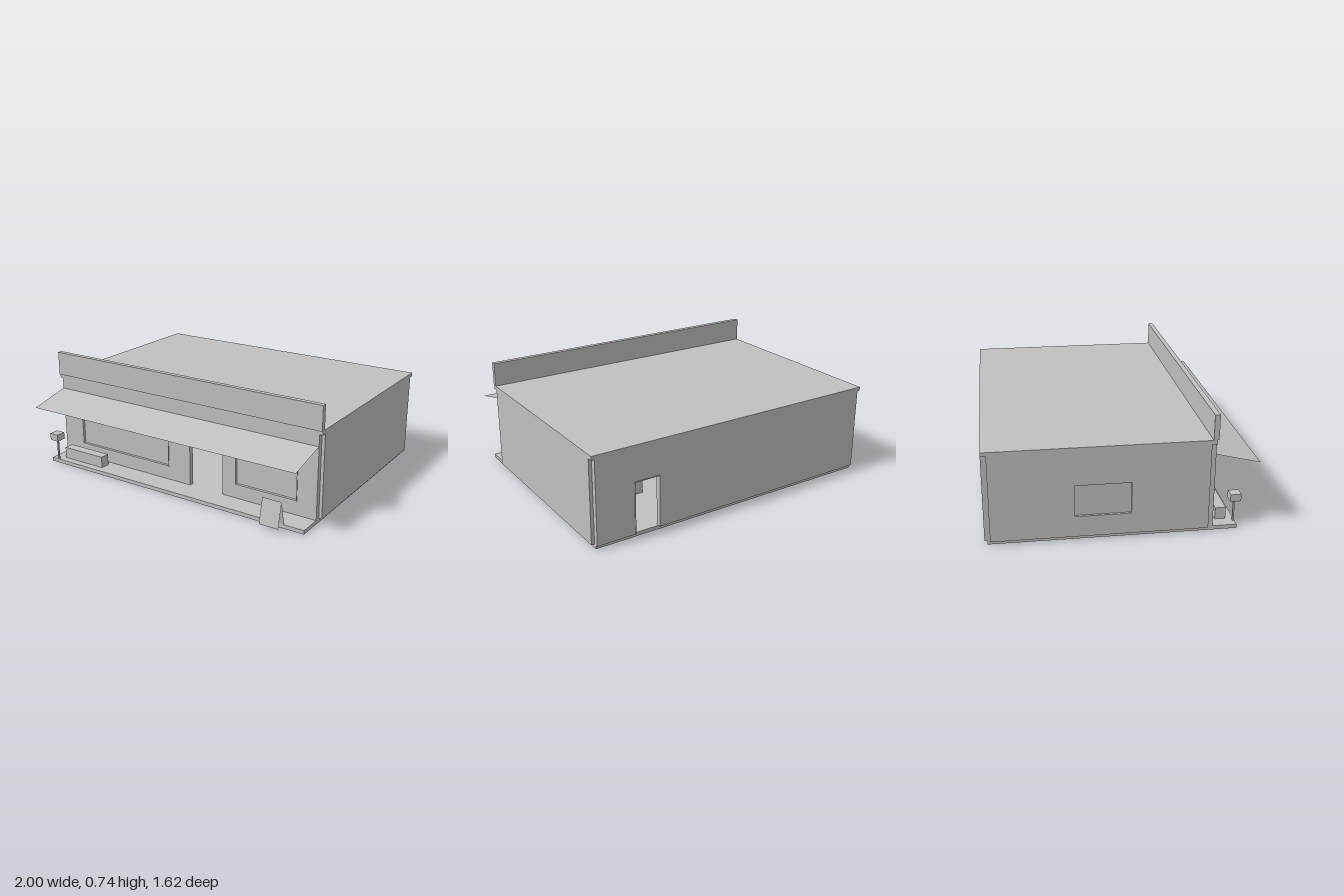
import * as THREE from 'three';

export function createModel() {
  const group = new THREE.Group();
  const grey = new THREE.MeshStandardMaterial({ color: 0xc0c0c0, side: THREE.DoubleSide });
  grey.name = 'plain grey';
  const T = 0.032, BASE = 0.025, EAVE = 0.56;

  const add = (name, geometry, parent = group) => {
    const mesh = new THREE.Mesh(geometry, grey);
    mesh.name = name;
    parent.add(mesh);
    return mesh;
  };
  // Box given by its limits
  const box = (name, x0, x1, y0, y1, z0, z1, parent) => {
    const g = new THREE.BoxGeometry(x1 - x0, y1 - y0, z1 - z0);
    g.translate((x0 + x1) / 2, (y0 + y1) / 2, (z0 + z1) / 2);
    return add(name, g, parent);
  };
  // Thin tilted sheet between a top edge and a bottom edge
  const sheet = (name, x0, x1, [yt, zt], [yb, zb]) => {
    const g = new THREE.PlaneGeometry(x1 - x0, Math.hypot(yt - yb, zt - zb));
    g.rotateX(-Math.atan2(zb - zt, yt - yb));
    g.translate((x0 + x1) / 2, (yt + yb) / 2, (zt + zb) / 2);
    return add(name, g);
  };
  // Wall in its own xy plane, with doorways cut from the base and glazed windows
  const wall = (name, u0, u1, doors = [], windows = []) => {
    const part = new THREE.Group();
    part.name = name;
    const s = new THREE.Shape();
    s.moveTo(u0, BASE);
    for (const [a, b, top] of doors) {
      s.lineTo(a, BASE); s.lineTo(a, top); s.lineTo(b, top); s.lineTo(b, BASE);
    }
    s.lineTo(u1, BASE); s.lineTo(u1, EAVE); s.lineTo(u0, EAVE); s.closePath();
    for (const [a, b, lo, hi] of windows) {
      const h = new THREE.Path();
      h.moveTo(a, lo); h.lineTo(a, hi); h.lineTo(b, hi); h.lineTo(b, lo); h.closePath();
      s.holes.push(h);
      box('windowPane', a, b, lo, hi, 0.012, 0.018, part);
    }
    add(name + 'Panel', new THREE.ExtrudeGeometry(s, { depth: T, bevelEnabled: false }), part);
    group.add(part);
    return part;
  };
  // Slim lining around an opening, slightly proud of the wall
  const lining = (parent, a, b, lo, hi, z0, z1, sill) => {
    const t = 0.004;
    box('liningSide', a, a + t, lo, hi, z0, z1, parent);
    box('liningSide', b - t, b, lo, hi, z0, z1, parent);
    box('liningHead', a + t, b - t, hi - t, hi, z0, z1, parent);
    if (sill) box('liningSill', a + t, b - t, lo, lo + t, z0, z1, parent);
  };

  // Ground slab, walls with notched corners, and inner partition
  box('groundSlab', -0.98, 0.98, 0, BASE, -0.79, 0.685);
  const shopWindows = [[-0.82, -0.085, 0.115, 0.443], [0.42, 0.85, 0.115, 0.443]];
  const front = wall('frontWall', -0.98, 0.98, [[0.08, 0.327, 0.38]], shopWindows);
  front.position.z = 0.505;
  for (const [a, b, lo, hi] of shopWindows) lining(front, a, b, lo, hi, 0.01, T + 0.004, true);

  const back = wall('backWall', -0.98, 0.98, [[0.56, 0.73, 0.36]]);
  back.position.z = -0.807;
  lining(back, 0.56, 0.73, BASE, 0.36, -0.004, T, false);

  const rightSide = wall('leftWall', -0.775, 0.505);
  rightSide.rotation.y = -Math.PI / 2;
  rightSide.position.x = 1;
  const windowSide = wall('rightWall', -0.775, 0.505, [], [[-0.285, 0.045, 0.155, 0.35]]);
  windowSide.rotation.y = -Math.PI / 2;
  windowSide.position.x = -1 + T;

  const partition = wall('partition', -0.968, 0.968, [[0.245, 0.42, 0.31]]);
  partition.position.z = -0.38;

  // Flat roof, parapet and sloping awning
  box('roof', -1, 1, EAVE, 0.585, -0.807, 0.537);
  box('parapet', -1, 1, 0.585, 0.74, 0.513, 0.545);
  sheet('awning', -0.98, 0.98, [0.488, 0.538], [0.422, 0.805]);

  // Planter, post box and folding board by the entrance
  box('planter', -0.9, -0.575, BASE, 0.1, 0.572, 0.637);
  box('boxPost', -0.934, -0.924, BASE, 0.167, 0.67, 0.68);
  box('postBox', -0.962, -0.897, 0.167, 0.213, 0.644, 0.709);
  sheet('boardFront', 0.722, 0.85, [0.182, 0.72], [BASE, 0.755]);
  sheet('boardBack', 0.722, 0.85, [0.182, 0.72], [BASE, 0.685]);

  return group;
}
